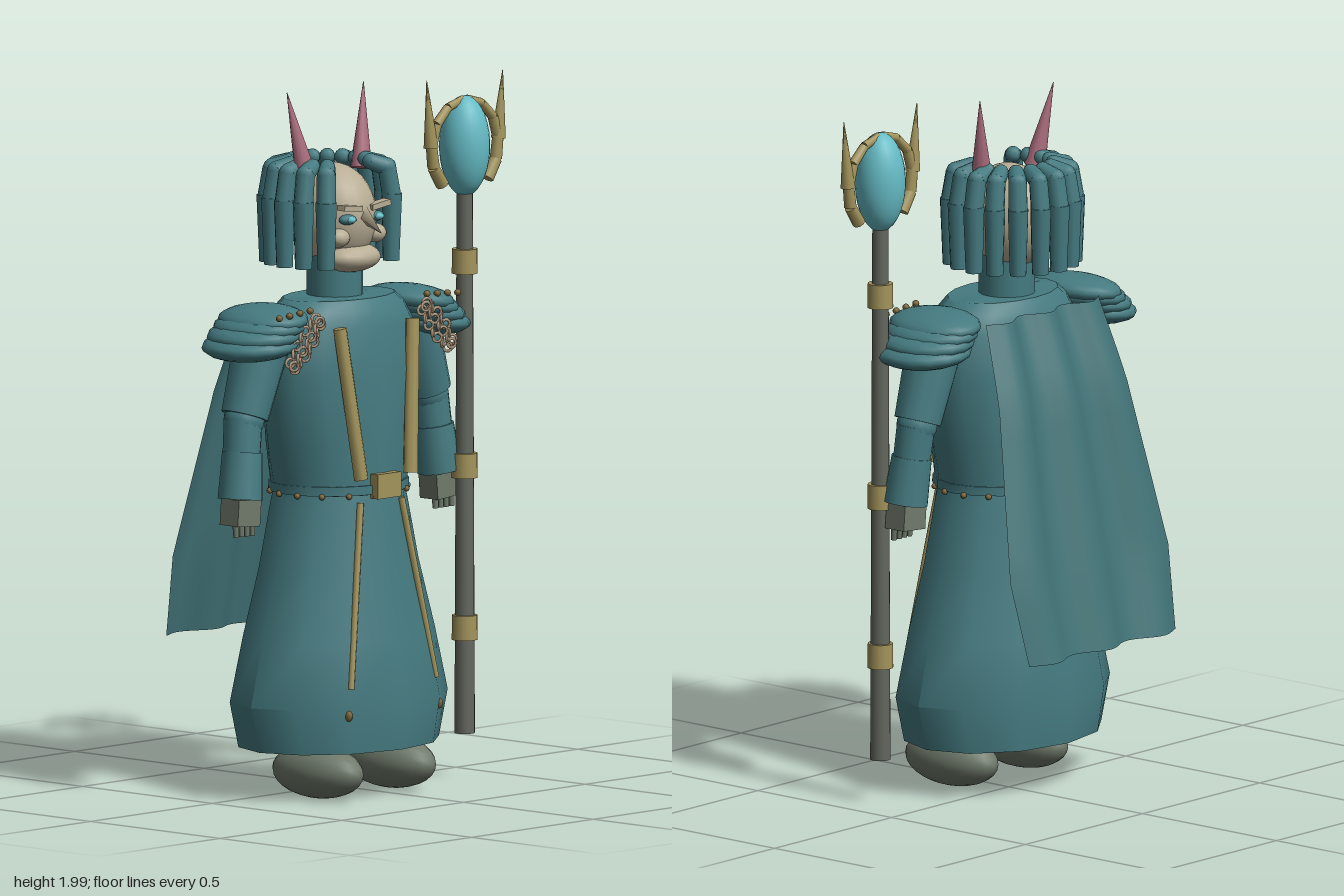
import * as THREE from 'three';
import { toCreasedNormals } from 'three/addons/utils/BufferGeometryUtils.js';

const mat = (name, color, side = THREE.FrontSide) => {
  const m = new THREE.MeshStandardMaterial({ color, side });
  m.name = name;
  return m;
};

export function createModel() {
  const teal = mat('teal cloth', 0x457b81);
  const capeMat = mat('cape teal', 0x437579, THREE.DoubleSide);
  const skin = mat('skin', 0xb8ad94);
  const gold = mat('gold', 0xa3945c);
  const grey = mat('grey leather', 0x6f7a6b);
  const wood = mat('staff wood', 0x63685e);
  const pink = mat('horn pink', 0xa96c7c);
  const cyan = mat('crystal cyan', 0x66bcc6);
  const chainMat = mat('chain beige', 0xb09a80);
  const brown = mat('bronze stud', 0x7d6438);

  const root = new THREE.Group();
  root.name = 'hornedMage';
  const body = new THREE.Group();
  body.name = 'body';
  body.position.x = -0.066;
  root.add(body);

  const V = (x, y, z) => new THREE.Vector3(x, y, z);
  const add = (parent, name, geo, m) => {
    const mesh = new THREE.Mesh(geo, m);
    mesh.name = name;
    parent.add(mesh);
    return mesh;
  };
  const ball = (parent, name, m, p, rx, ry, rz, seg = 16) => {
    const mesh = add(parent, name, new THREE.SphereGeometry(1, seg, Math.ceil(seg * 0.7)), m);
    mesh.position.set(...p);
    mesh.scale.set(rx, ry, rz);
    return mesh;
  };
  const box = (parent, name, m, p, size, rz = 0) => {
    const mesh = add(parent, name, new THREE.BoxGeometry(...size), m);
    mesh.position.set(...p);
    mesh.rotation.z = rz;
    return mesh;
  };
  // Tapered round bar from a to b
  const bar = (parent, name, m, a, b, ra, rb, seg = 12) => {
    const d = b.clone().sub(a);
    const mesh = add(parent, name, new THREE.CylinderGeometry(rb, ra, d.length(), seg), m);
    mesh.position.copy(a).addScaledVector(d, 0.5);
    mesh.quaternion.setFromUnitVectors(V(0, 1, 0), d.normalize());
    return mesh;
  };
  // Closed stack of ellipses, rows of [y, rx, rz] from the bottom up
  const loft = (rows, n, zc) => {
    const pos = [], idx = [];
    for (const [y, rx, rz] of rows)
      for (let i = 0; i < n; i++) {
        const a = (i / n) * Math.PI * 2;
        pos.push(Math.sin(a) * rx, y, zc + Math.cos(a) * rz);
      }
    const top = rows.length - 1, c = rows.length * n;
    pos.push(0, rows[0][0], zc, 0, rows[top][0], zc);
    for (let i = 0; i < n; i++) {
      const k = (i + 1) % n;
      for (let j = 0; j < top; j++) {
        const a = j * n + i, b = j * n + k;
        idx.push(a, b, b + n, a, b + n, a + n);
      }
      idx.push(c, k, i, c + 1, top * n + i, top * n + k);
    }
    const g = new THREE.BufferGeometry();
    g.setAttribute('position', new THREE.Float32BufferAttribute(pos, 3));
    g.setIndex(idx);
    return toCreasedNormals(g, 0.75);
  };

  // Robe
  add(body, 'skirt', loft([[0.14, 0.325, 0.245], [0.27, 0.36, 0.255], [0.45, 0.315, 0.23],
    [0.65, 0.255, 0.2], [0.83, 0.215, 0.178], [0.88, 0.2, 0.172]], 12, 0.08), teal);
  add(body, 'torso', loft([[0.86, 0.205, 0.176], [1.0, 0.237, 0.176], [1.2, 0.27, 0.172],
    [1.33, 0.255, 0.16], [1.38, 0.225, 0.145], [1.41, 0.19, 0.125]], 16, 0.08), teal);
  add(body, 'belt', loft([[0.862, 0.214, 0.183], [0.888, 0.214, 0.183]], 16, 0.08), teal);
  box(body, 'buckle', gold, [0, 0.885, 0.262], [0.095, 0.07, 0.03]);
  for (let i = 0; i < 16; i++) {
    const a = ((i + 0.5) / 16) * Math.PI * 2;
    ball(body, 'beltStud', brown, [Math.sin(a) * 0.212, 0.86, 0.08 + Math.cos(a) * 0.181], 0.009, 0.009, 0.009, 6);
  }

  // Cape: waving sheet that flares and leans back
  const cape = new THREE.PlaneGeometry(2, 1, 32, 12);
  const cp = cape.attributes.position;
  const lerp = THREE.MathUtils.lerp;
  for (let i = 0; i < cp.count; i++) {
    const u = cp.getX(i), t = 0.5 - cp.getY(i);
    const half = t < 0.75 ? lerp(0.24, 0.337, t / 0.75) : lerp(0.337, 0.312, (t - 0.75) * 4);
    const z = t < 0.23 ? lerp(-0.08, -0.155, t / 0.23) : lerp(-0.155, -0.305, (t - 0.23) / 0.77);
    cp.setXYZ(i, u * half, 1.375 - t * 0.94, z - 0.019 * Math.cos(u * 8.6));
  }
  cape.computeVertexNormals();
  add(body, 'cape', cape, capeMat);

  // Head
  bar(body, 'neck', teal, V(0, 1.39, 0.065), V(0, 1.53, 0.065), 0.08, 0.08, 16);
  ball(body, 'head', skin, [0, 1.632, 0.055], 0.115, 0.15, 0.135, 24);
  ball(body, 'chin', skin, [0, 1.52, 0.13], 0.095, 0.042, 0.07);
  bar(body, 'nose', skin, V(0, 1.648, 0.17), V(0, 1.598, 0.245), 0.028, 0.001, 4);

  // Hair: bent locks around the sides and back
  for (let i = 0; i < 13; i++) {
    const a = THREE.MathUtils.degToRad(50 + (i * 260) / 12);
    const at = (r, y) => V(Math.sin(a) * r, y, 0.045 + Math.cos(a) * r);
    const p0 = at(0.115, 1.782), p1 = at(0.162, 1.765), p2 = at(0.176, 1.68), p3 = at(0.174, 1.5);
    bar(body, 'hairCrown', teal, p0, p1, 0.023, 0.027, 10);
    ball(body, 'hairTip', teal, p0.toArray(), 0.023, 0.023, 0.023, 10);
    ball(body, 'hairBend', teal, p1.toArray(), 0.027, 0.027, 0.027, 10);
    bar(body, 'hairUpper', teal, p1, p2, 0.027, 0.028, 10);
    bar(body, 'hairLower', teal, V(p2.x, 1.69, p2.z), p3, 0.03, 0.024, 10);
  }

  for (const s of [-1, 1]) {
    // Face
    ball(body, 'cheek', skin, [s * 0.075, 1.583, 0.15], 0.034, 0.027, 0.03);
    box(body, 'brow', skin, [s * 0.058, 1.668, 0.178], [0.075, 0.016, 0.03], s * 0.12);
    ball(body, 'eyeRim', teal, [s * 0.057, 1.635, 0.168], 0.03, 0.015, 0.02, 12);
    ball(body, 'eye', cyan, [s * 0.057, 1.635, 0.18], 0.018, 0.01, 0.016, 10);
    bar(body, 'horn', pink, V(s * 0.113, 1.755, 0.06), V(s * 0.157, 1.992, 0.028), 0.031, 0.001, 10);

    // Gold trim
    const lapel = bar(body, 'lapel', gold, V(s * 0.149, 1.34, 0.225), V(s * 0.101, 0.91, 0.262), 0.019, 0.02, 8);
    lapel.scale.z = 1.1;
    bar(body, 'skirtTrim', gold, V(s * 0.084, 0.84, 0.243), V(s * 0.174, 0.325, 0.292), 0.01, 0.009, 8);
    ball(body, 'trimBead', brown, [s * 0.185, 0.25, 0.293], 0.01, 0.016, 0.012, 8);

    // Layered shoulder guard with studs
    [[0.3, 1.368, 0.105], [0.315, 1.35, 0.112], [0.335, 1.327, 0.122], [0.352, 1.3, 0.128]].forEach(([x, y, rx]) => {
      ball(body, 'shoulderPlate', teal, [s * x, y, 0.07], rx, 0.042, 0.147, 16).rotation.z = -s * 0.1;
    });
    for (let i = 0; i < 4; i++)
      ball(body, 'shoulderStud', brown, [s * (0.24 + i * 0.042), 1.397 - i * 0.003, 0.195], 0.01, 0.01, 0.01, 8);

    // Chain of small rings hanging from the shoulder
    for (let row = -1; row <= 1; row++)
      for (let i = 0; i < 7; i++) {
        const t = i / 6, spread = row * (0.014 + 0.012 * Math.sin(t * Math.PI));
        const ring = add(body, 'chainRing', new THREE.TorusGeometry(0.013, 0.0045, 5, 10), chainMat);
        ring.position.set(s * (0.218 + t * 0.105 + spread * 0.7), 1.365 - t * 0.115 + spread * 0.7, 0.212 - Math.abs(row) * 0.006);
        ring.rotation.y = i % 2 ? 0.6 : -0.4;
      }

    // Arm, cuff and hand
    bar(body, 'upperArm', teal, V(s * 0.375, 1.1, 0.07), V(s * 0.295, 1.33, 0.07), 0.068, 0.082, 14);
    ball(body, 'elbow', teal, [s * 0.378, 1.09, 0.07], 0.058, 0.058, 0.058, 14);
    bar(body, 'forearm', teal, V(s * 0.405, 0.9, 0.08), V(s * 0.382, 1.09, 0.07), 0.053, 0.055, 14);
    bar(body, 'cuff', teal, V(s * 0.41, 0.868, 0.085), V(s * 0.392, 1.0, 0.077), 0.064, 0.058, 14);
    box(body, 'hand', grey, [s * 0.408, 0.832, 0.085], [0.092, 0.075, 0.07], s * 0.08);
    for (let i = 0; i < 4; i++)
      bar(body, 'finger', grey, V(s * (0.376 + i * 0.022), 0.81, 0.098), V(s * (0.376 + i * 0.022), 0.765, 0.1), 0.01, 0.008, 8);

    ball(body, 'foot', grey, [s * 0.149, 0.076, 0.14], 0.082, 0.076, 0.16, 20);
  }

  // Staff
  const staff = new THREE.Group();
  staff.name = 'staff';
  staff.position.set(0.379, 0, 0.148);
  root.add(staff);
  bar(staff, 'shaft', wood, V(0, 0.125, 0), V(0, 1.67, 0), 0.029, 0.023, 14);
  for (const y of [0.425, 0.885, 1.465])
    bar(staff, 'collar', gold, V(0, y - 0.035, 0), V(0, y + 0.035, 0), 0.037, 0.036, 14);
  ball(staff, 'crystal', cyan, [0, 1.792, 0], 0.072, 0.143, 0.072, 24);
  for (const s of [-1, 1]) {
    // Claw of short bars around the crystal, with a spike
    const at = (deg) => {
      const a = THREE.MathUtils.degToRad(deg);
      return V(s * Math.cos(a) * 0.137, 1.79 + Math.sin(a) * 0.135, 0);
    };
    for (let i = 0; i < 5; i++)
      bar(staff, 'claw', gold, at(-48 + i * 27), at(-48 + (i + 1) * 27), 0.019 - i * 0.0015, 0.0175 - i * 0.0015, 8);
    bar(staff, 'spike', gold, V(s * 0.138, 1.8, 0), V(s * 0.156, 1.992, 0), 0.021, 0.001, 8);
  }
  return root;
}
